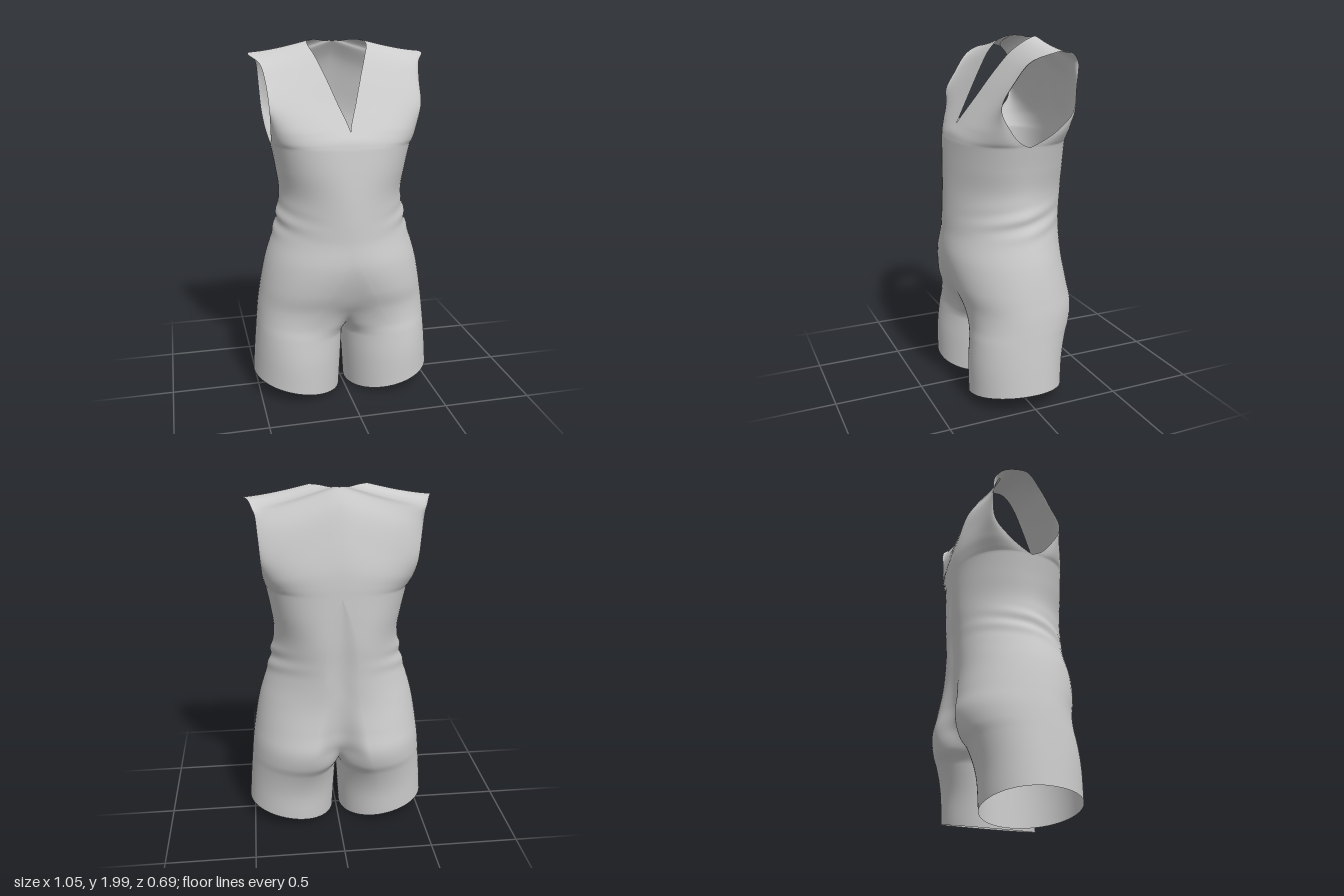
import * as THREE from 'three';
import { mergeGeometries, mergeVertices } from 'three/addons/utils/BufferGeometryUtils.js';

const COLS = 16, CROTCH = 0.35, CHEST = 0.8;
const pw = (v, e) => Math.pow(Math.max(0, v), e);

// Cross-sections of one half, from hem to armpit:
// y, half width, centre front z, front crest x, z, centre back z, back crest x, z, front and back roundness
const SECTIONS = [
  [0.00, 0.525, 0.02, 0.27, 0.290, 0.02, 0.27, -0.235, 0.97, 0.97],
  [0.20, 0.513, 0.02, 0.27, 0.288, 0.02, 0.26, -0.250, 0.97, 0.97],
  [0.35, 0.502, 0.02, 0.26, 0.275, 0.02, 0.22, -0.290, 0.97, 0.97],
  [0.42, 0.497, 0.16, 0.24, 0.268, -0.16, 0.19, -0.322, 0.98, 0.98],
  [0.53, 0.487, 0.255, 0.18, 0.280, -0.255, 0.16, -0.342, 0.99, 0.99],
  [0.65, 0.470, 0.31, 0.12, 0.317, -0.28, 0.14, -0.325, 1.00, 1.01],
  [0.80, 0.440, 0.345, 0.04, 0.345, -0.292, 0.11, -0.308, 1.04, 1.07],
  [0.95, 0.395, 0.338, 0, 0.338, -0.297, 0.09, -0.310, 1.11, 1.16],
  [1.05, 0.372, 0.335, 0, 0.335, -0.303, 0.09, -0.315, 1.13, 1.18],
  [1.18, 0.350, 0.327, 0, 0.327, -0.314, 0.08, -0.325, 1.06, 1.09],
  [1.32, 0.366, 0.313, 0, 0.313, -0.322, 0.05, -0.328, 0.91, 0.93],
  [1.45, 0.390, 0.296, 0, 0.296, -0.328, 0, -0.328, CHEST, CHEST],
];

// Edge of the neckline and centre lines, from front chest over the shoulder to the back
const NECK = [
  [0, 1.45, 0.296], [0, 1.495, 0.284], [0, 1.54, 0.255], [0.05, 1.68, 0.165], [0.10, 1.82, 0.075],
  [0.14, 1.92, 0], [0.165, 1.975, -0.07], [0.155, 1.995, -0.12], [0.10, 1.998, -0.17], [0.05, 1.99, -0.19],
  [0, 1.987, -0.195], [0, 1.9, -0.245], [0, 1.75, -0.29], [0, 1.6, -0.32], [0, 1.51, -0.327], [0, 1.45, -0.328],
];

// Edge of the armhole, matching the neck points one by one
const ARMHOLE = [
  [0.39, 1.45, 0], [0.395, 1.478, 0.055], [0.402, 1.54, 0.11], [0.414, 1.66, 0.168], [0.422, 1.79, 0.10],
  [0.44, 1.88, 0.03], [0.49, 1.925, -0.07], [0.475, 1.935, -0.14], [0.455, 1.925, -0.20], [0.443, 1.90, -0.23],
  [0.43, 1.87, -0.25], [0.42, 1.77, -0.25], [0.41, 1.62, -0.235], [0.403, 1.53, -0.15],
  [0.395, 1.478, -0.065], [0.39, 1.45, 0],
];

// Turn rows of points into a sheet; mirrored for the other half
function sheet(rows, side) {
  const n = rows[0].length, pos = [], idx = [];
  rows.forEach((row) => row.forEach(([x, y, z]) => pos.push(side * x, y, z)));
  for (let i = 0; i < rows.length - 1; i++) {
    for (let j = 0; j < n - 1; j++) {
      const a = i * n + j, b = a + 1, c = b + n, d = a + n;
      if (side > 0) idx.push(a, b, c, a, c, d);
      else idx.push(a, c, b, a, d, c);
    }
  }
  const g = new THREE.BufferGeometry();
  g.setAttribute('position', new THREE.Float32BufferAttribute(pos, 3));
  g.setIndex(idx);
  return g;
}

// Quarter section from a centre line to a crest, then round to the side.
// soft = 0 rounds the inner thigh, soft = 1 runs smoothly across the centre.
function quarter(inner, centre, crestX, crestZ, w, e, soft) {
  const pts = [], mix = THREE.MathUtils.lerp;
  for (let k = 0; k < COLS; k++) {
    const t = k / COLS, a = t * Math.PI / 2;
    pts.push([
      inner + (crestX - inner) * mix(1 - Math.cos(a), t, soft),
      centre + (crestZ - centre) * mix(Math.sin(a), Math.sin(a) ** 2, soft),
    ]);
  }
  for (let k = 0; k <= COLS; k++) {
    const a = (k / COLS) * Math.PI / 2;
    pts.push([crestX + (w - crestX) * pw(Math.sin(a), e), crestZ * pw(Math.cos(a), e)]);
  }
  return pts;
}

// Leg, hip and waist rows of one half
function lowerRows() {
  const spline = new THREE.CubicInterpolant(
    SECTIONS.map((s) => s[0]), SECTIONS.flatMap((s) => s.slice(1)), 9, new Float32Array(9));
  const rows = [], steps = 116;
  for (let i = 0; i <= steps; i++) {
    const y = 1.45 * i / steps;
    let [w, cf, fx, fz, cb, bx, bz, fe, be] = spline.evaluate(y);
    const below = y <= CROTCH;
    cf = below ? 0.02 : Math.max(0.02, cf);
    cb = below ? 0.02 : Math.min(0.02, cb);
    const inner = below ? 0.02 * (1 - y / CROTCH) : 0;
    const soft = THREE.MathUtils.smoothstep(y, CROTCH, 0.56);
    const front = quarter(inner, cf, Math.max(inner, fx), fz, w, fe, soft);
    const back = quarter(inner, cb, Math.max(inner, bx), bz, w, be, soft).reverse().slice(1);
    rows.push([...front, ...back].map(([x, z]) => {
      // gathered folds at the sides of the waist
      const fold = 0.02 * Math.sin(y * 60 + z * 14) * Math.exp(-(((y - 1.04) / 0.07) ** 2)) * (x / 0.38) ** 3;
      // hem rises towards the outside of the leg
      const rise = 0.2 * x * Math.max(0, 1 - y / 0.6);
      return [x * (1 + fold), y + rise, z * (1 + fold)];
    }));
  }
  return rows;
}

// Chest, shoulder and back rows of one half, between neckline and armhole
function upperRows() {
  const curve = (pts) => new THREE.CatmullRomCurve3(pts.map((p) => new THREE.Vector3(...p)));
  const neck = curve(NECK), arm = curve(ARMHOLE);
  const rows = [], steps = (NECK.length - 1) * 6;
  for (let i = 0; i <= steps; i++) {
    const n = neck.getPoint(i / steps), a = arm.getPoint(i / steps), row = [];
    n.x = n.x < 1e-4 ? 0 : n.x;
    for (let k = 0; k <= COLS; k++) {
      const t = (k / COLS) * Math.PI / 2, s = pw(Math.sin(t), CHEST);
      // shoulders sag slightly between neck and arm
      row.push([n.x + (a.x - n.x) * s, n.y + (a.y - n.y) * (1.3 * s - 0.3 * s ** 3),
        a.z + (n.z - a.z) * pw(Math.cos(t), CHEST)]);
    }
    rows.push(row);
  }
  return rows;
}

export function createModel() {
  const group = new THREE.Group();
  group.name = 'sleevelessRomper';
  const lower = lowerRows(), upper = upperRows();
  const parts = [1, -1].flatMap((side) => [sheet(lower, side), sheet(upper, side)]);
  const geometry = mergeVertices(mergeGeometries(parts), 1e-4);
  geometry.computeVertexNormals();
  const material = new THREE.MeshStandardMaterial({ color: 0xcccccc, side: THREE.DoubleSide });
  const garment = new THREE.Mesh(geometry, material);
  garment.name = 'garmentShell';
  group.add(garment);
  return group;
}
